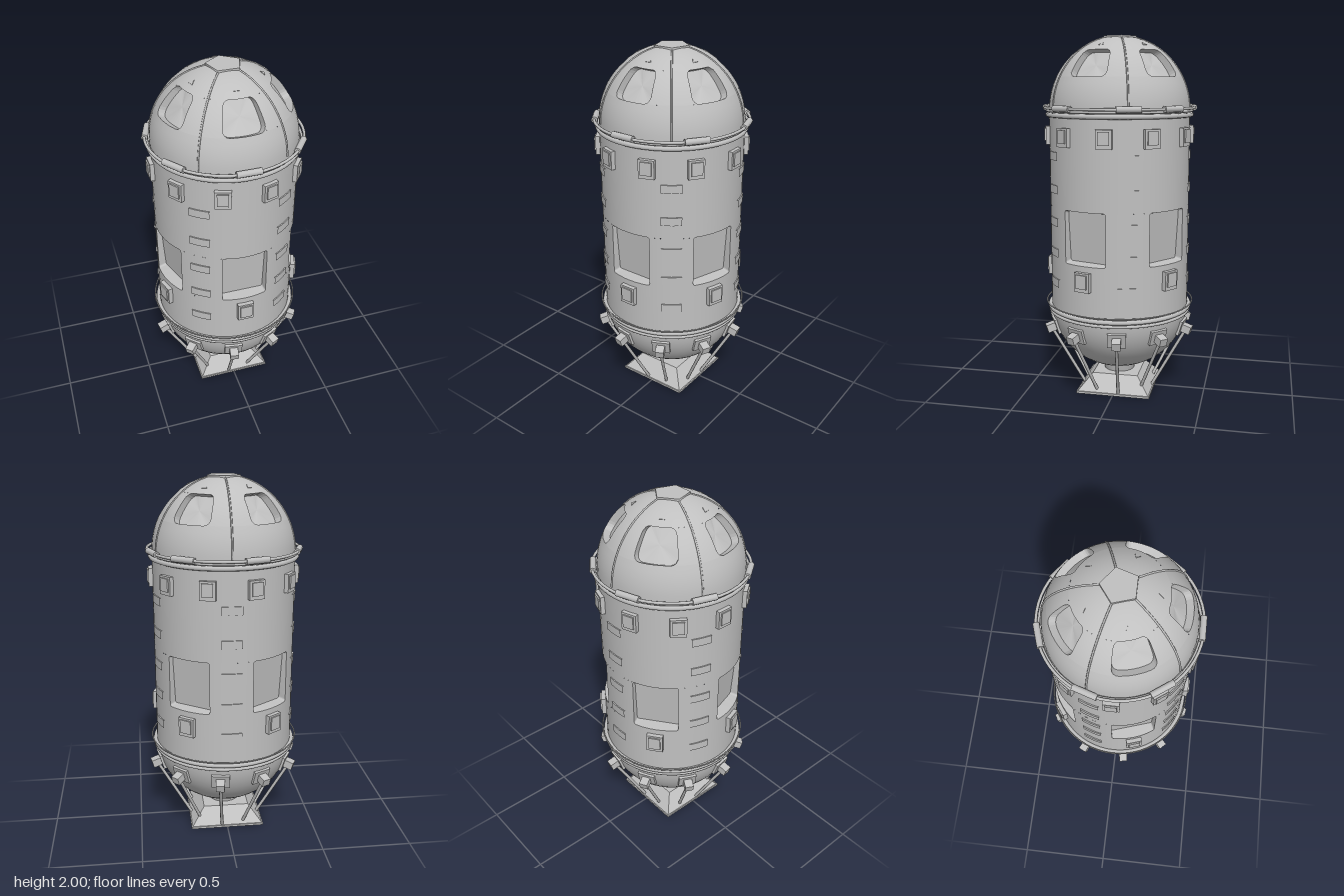
import * as THREE from 'three';

const R = 0.39;
const STEP = (Math.PI * 2) / 5;
const deg = THREE.MathUtils.degToRad;
const BODY_HALF = 0.325, DOME_HALF = 0.325;      // window half angles
const DOME_LOW = 0.467, DOME_HIGH = 0.927;       // dome window elevations

// Outer skin of each zone: u = angle from the front, v = height or elevation
const bodyPoint = (u, v) => new THREE.Vector3(R * Math.sin(u), v, R * Math.cos(u));
const domePoint = (u, e) => {
  const r = R * Math.cos(e);
  return new THREE.Vector3(r * Math.sin(u), 1.6 + 0.4 * Math.sin(e), r * Math.cos(u));
};

// Arc of wall, leaving out window openings when given a start and length
function wall(skin, v0, v1, rows, start = 0, length = Math.PI * 2, segments = 60) {
  const points = [];
  for (let i = 0; i <= rows; i++) {
    const p = skin(0, v0 + ((v1 - v0) * i) / rows);
    points.push(new THREE.Vector2(p.z, p.y));
  }
  return new THREE.LatheGeometry(points, segments, start, length);
}

// Counter-clockwise rounded rectangle in (u, v); the two radii round its corners
function windowLoop(half, v0, v1, ru, rv) {
  const loop = [];
  const corners = [[half, v0, -1, 1], [half, v1, -1, -1], [-half, v1, 1, -1], [-half, v0, 1, 1]];
  const arcs = corners.map(([u, v, su, sv], k) => {
    const pts = [];
    for (let i = 0; i <= 4; i++) {
      const a = ((k - 1) * Math.PI) / 2 + (i * Math.PI) / 8;
      pts.push([u + su * ru + ru * Math.cos(a), v + sv * rv + rv * Math.sin(a)]);
    }
    return pts;
  });
  arcs.forEach((arc, k) => {
    loop.push(...arc);
    const a = arc[4], b = arcs[(k + 1) % 4][0];
    for (let i = 1; i < 6; i++) loop.push([a[0] + ((b[0] - a[0]) * i) / 6, a[1] + ((b[1] - a[1]) * i) / 6]);
  });
  return loop;
}

// Loft through loops of points, closed by a pane on the last one
function loftWithPane(loops) {
  const positions = [];
  const tri = (...pts) => pts.forEach((p) => positions.push(p.x, p.y, p.z));
  const n = loops[0].length;
  for (let k = 0; k + 1 < loops.length; k++) {
    for (let i = 0; i < n; i++) {
      const j = (i + 1) % n, a = loops[k], b = loops[k + 1];
      tri(a[i], a[j], b[j]);
      tri(a[i], b[j], b[i]);
    }
  }
  const last = loops[loops.length - 1];
  const centre = last.reduce((s, p) => s.add(p), new THREE.Vector3()).divideScalar(n);
  for (let i = 0; i < n; i++) tri(last[i], last[(i + 1) % n], centre);
  const g = new THREE.BufferGeometry();
  g.setAttribute('position', new THREE.Float32BufferAttribute(positions, 3));
  g.computeVertexNormals();
  return g;
}

function windowRecess(skin, half, v0, v1, ru, rv, inset) {
  const square = windowLoop(half, v0, v1, 0, 0).map(([u, v]) => skin(u, v));
  const round = windowLoop(half, v0, v1, ru, rv).map(([u, v]) => skin(u, v));
  return loftWithPane([square, round, round.map(inset)]);
}

export function createModel() {
  const model = new THREE.Group();
  const grey = new THREE.MeshStandardMaterial({ color: 0xc0c0c0 });
  grey.name = 'hull grey';

  const add = (name, geometry, parent = model) => {
    const mesh = new THREE.Mesh(geometry, grey);
    mesh.name = name;
    parent.add(mesh);
    return mesh;
  };
  // Empty turned about the vertical axis, so its +z points outward
  const spoke = (name, angle) => {
    const group = new THREE.Group();
    group.name = name;
    group.rotation.y = angle;
    model.add(group);
    return group;
  };
  const box = (name, parent, w, h, d, y, z) => {
    const mesh = add(name, new THREE.BoxGeometry(w, h, d), parent);
    mesh.position.set(0, y, z);
    return mesh;
  };
  const ring = (name, radius, tube, y) => {
    const mesh = add(name, new THREE.TorusGeometry(radius, tube, 8, 60), model);
    mesh.rotation.x = Math.PI / 2;
    mesh.position.y = y;
  };
  const rod = (name, from, to, radius, parent) => {
    const mesh = add(name, new THREE.CylinderGeometry(radius, radius, from.distanceTo(to), 8), parent);
    mesh.position.copy(from).lerp(to, 0.5);
    mesh.quaternion.setFromUnitVectors(new THREE.Vector3(0, 1, 0), to.clone().sub(from).normalize());
  };

  // Hull zones with full rings above and below the windows
  add('lowerHull', wall((u, e) => new THREE.Vector3(0, 0.5 + 0.37 * Math.sin(e), R * Math.cos(e)), -Math.PI / 2, 0, 14));
  add('bodyBelowWindows', wall(bodyPoint, 0.5, 0.79, 1));
  add('bodyAboveWindows', wall(bodyPoint, 1.08, 1.6, 1));
  add('domeBase', wall(domePoint, 0, DOME_LOW, 5));
  add('domeCrown', wall(domePoint, DOME_HIGH, 1.42, 5));
  const cap = add('pentagonCap', new THREE.CylinderGeometry(0.094, 0.096, 0.018, 5, 1, false, Math.PI));
  cap.position.y = 1.991;

  for (let i = 0; i < 5; i++) {
    const a = i * STEP;
    // Walls between windows
    add('bodyPillar', wall(bodyPoint, 0.79, 1.08, 1, a + BODY_HALF, STEP - 2 * BODY_HALF, 8));
    add('domePillar', wall(domePoint, DOME_LOW, DOME_HIGH, 6, a + DOME_HALF, STEP - 2 * DOME_HALF, 8));

    // Recessed windows and the box under each
    const bay = spoke('windowBay', a);
    add('bodyWindow', windowRecess(bodyPoint, BODY_HALF, 0.79, 1.08, 0.03, 0.012,
      (p) => new THREE.Vector3(p.x * 0.95, 0.935 + (p.y - 0.935) * 0.95, 0.325 + (p.y - 0.79) * 0.07)), bay);
    add('domeWindow', windowRecess(domePoint, DOME_HALF, DOME_LOW, DOME_HIGH, 0.1, 0.1,
      (p) => new THREE.Vector3(p.x * 0.92, p.y - 0.016, p.z - 0.035)), bay);
    box('lowerBox', bay, 0.09, 0.105, 0.035, 0.705, 0.395);
    box('lowerBoxLid', bay, 0.066, 0.075, 0.012, 0.71, 0.414);
    const marker = add('domeMarker', new THREE.CylinderGeometry(0.018, 0.018, 0.004, 3, 1, false, Math.PI), bay);
    marker.position.copy(domePoint(0, 1.06));
    marker.rotation.x = Math.PI / 2 - 1.06;

    // Seam rib on the dome and joint plates down the body
    const seam = spoke('seam', a + STEP / 2);
    const path = [];
    for (let k = 0; k <= 10; k++) path.push(domePoint(0, 0.03 + k * 0.13));
    add('domeRib', new THREE.TubeGeometry(new THREE.CatmullRomCurve3(path), 24, 0.005, 6), seam);
    for (const y of [1.36, 1.18, 1.0, 0.83, 0.66]) {
      const plate = new THREE.CylinderGeometry(R + 0.006, R + 0.006, 0.045, 6, 1, false, -0.14, 0.28);
      add('jointPlate', plate, seam).position.y = y;
    }
  }

  // Raised boxes under the upper ring
  for (let i = 0; i < 10; i++) {
    const mount = spoke('upperBoxMount', deg(18 + 36 * i));
    box('upperBox', mount, 0.085, 0.1, 0.035, 1.465, 0.393);
    box('upperBoxLid', mount, 0.06, 0.07, 0.012, 1.47, 0.412);
  }

  // Rings
  ring('upperPipe', 0.415, 0.008, 1.615);
  ring('upperBand', 0.398, 0.013, 1.578);
  ring('upperThinPipe', 0.402, 0.007, 1.6);
  ring('lowerBand', 0.398, 0.013, 0.497);
  ring('lowerPipe', 0.397, 0.009, 0.473);
  ring('lowerThinPipe', 0.417, 0.004, 0.522);

  // Sleeves on the upper pipe
  for (const angle of [0, 54, 108, 144, 198, 252, 306]) {
    const sleeve = add('pipeSleeve', new THREE.CylinderGeometry(0.017, 0.017, 0.13, 12), spoke('sleeveMount', deg(angle)));
    sleeve.rotation.z = Math.PI / 2;
    sleeve.position.set(0, 1.615, 0.408);
  }

  // Support struts with their brackets
  for (let i = 0; i < 10; i++) {
    const leg = spoke('supportLeg', deg(-9 + 36 * i));
    const plate = box('bracketPlate', leg, 0.1, 0.085, 0.016, 0.39, 0.374);
    plate.rotation.x = 0.3;
    const block = box('bracketBlock', leg, 0.048, 0.045, 0.07, 0.382, 0.396);
    block.rotation.x = 0.3;
    rod('strut', new THREE.Vector3(0, 0.375, 0.4), new THREE.Vector3(0, 0.015, 0.2), 0.009, leg);
  }

  // Square foot and central column
  const foot = add('foot', new THREE.CylinderGeometry(0.13 * Math.SQRT2, 0.205 * Math.SQRT2, 0.09, 4, 1, false, Math.PI / 4).toNonIndexed());
  foot.geometry.computeVertexNormals();
  foot.position.y = 0.055;
  box('footPlate', model, 0.42, 0.012, 0.42, 0.006, 0);
  add('column', new THREE.CylinderGeometry(0.1, 0.085, 0.06, 24)).position.y = 0.125;

  return model;
}
